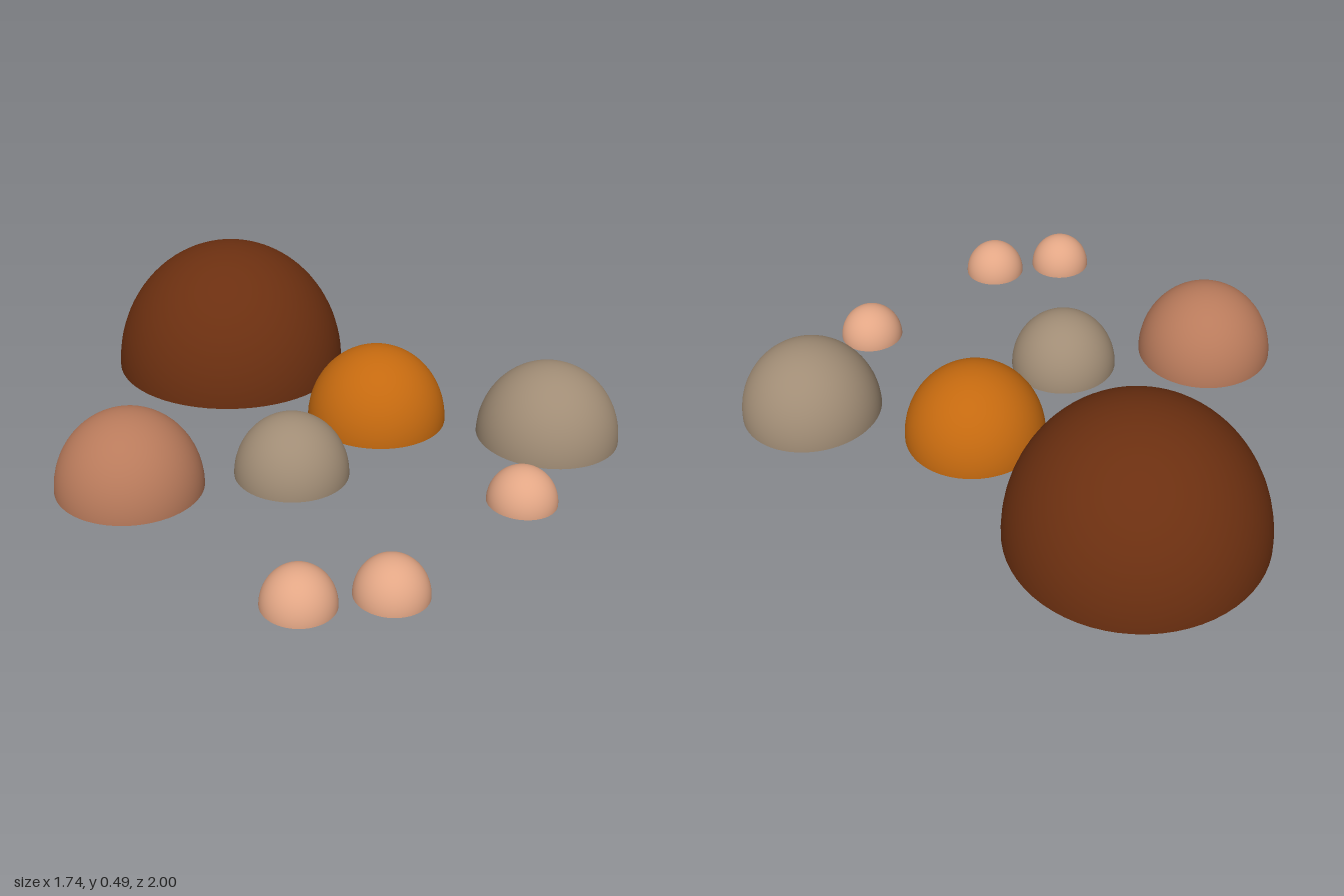
import * as THREE from 'three';

const material = (name, color) => {
  const m = new THREE.MeshStandardMaterial({ color });
  m.name = name;
  return m;
};

export function createModel() {
  const model = new THREE.Group();
  model.name = 'domeCluster';

  const darkBrown = material('dark brown', 0x6b2f10);
  const orange = material('orange', 0xc4690f);
  const clay = material('clay', 0xb87a5b);
  const taupe = material('taupe', 0xa08c75);
  const peach = material('peach', 0xe2a685);

  // Unit half sphere and the flat disc that closes it underneath
  const shellGeometry = new THREE.SphereGeometry(1, 64, 24, 0, Math.PI * 2, 0, Math.PI / 2);
  const baseGeometry = new THREE.CircleGeometry(1, 64).rotateX(Math.PI / 2);

  // name, material, x, base height, z, radius, height
  const domes = [
    ['largeDome', darkBrown, 0.289, 0.017, -0.564, 0.436, 0.476],
    ['clayDome', clay, -0.623, 0.017, -0.11, 0.247, 0.267],
    ['orangeDome', orange, 0.31, 0.017, 0.165, 0.247, 0.267],
    ['mediumTaupeDome', taupe, -0.195, 0.017, 0.219, 0.193, 0.21],
    ['frontTaupeDome', taupe, 0.618, 0.017, 0.69, 0.247, 0.267],
    ['smallDomeOuter', peach, -0.701, 0, 0.72, 0.115, 0.125],
    ['smallDomeInner', peach, -0.479, 0, 0.882, 0.115, 0.125],
    ['smallDomeLeft', peach, 0.182, 0.017, 0.882, 0.115, 0.122],
  ];

  for (const [name, mat, x, y, z, radius, height] of domes) {
    const dome = new THREE.Group();
    dome.name = name;
    const shell = new THREE.Mesh(shellGeometry, mat);
    shell.name = 'shell';
    const base = new THREE.Mesh(baseGeometry, mat);
    base.name = 'base';
    dome.add(shell, base);
    dome.position.set(x, y, z);
    dome.scale.set(radius, height, radius);
    model.add(dome);
  }

  return model;
}
